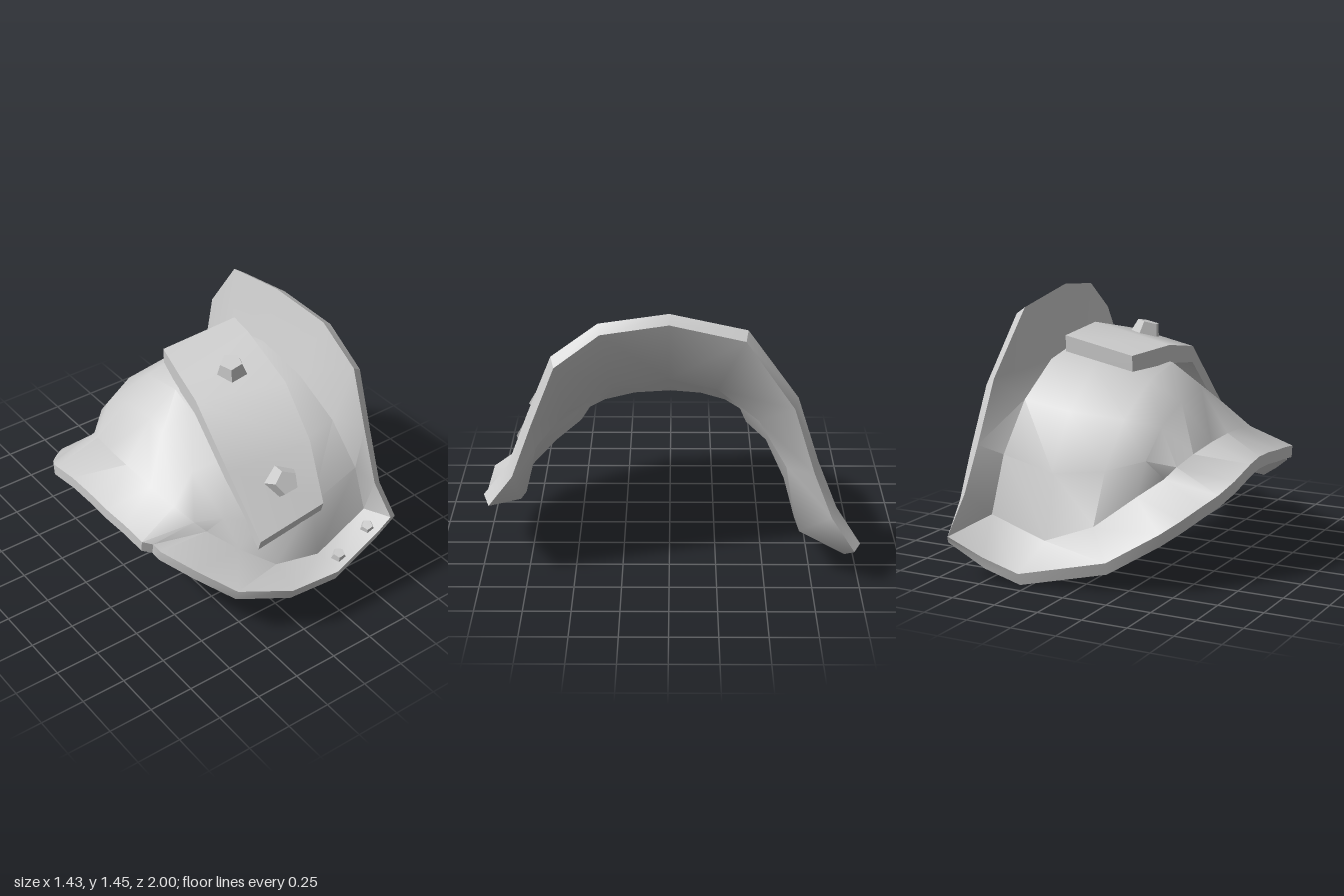
import * as THREE from 'three';
import { toCreasedNormals, mergeGeometries } from 'three/addons/utils/BufferGeometryUtils.js';

const material = new THREE.MeshStandardMaterial({ color: 0xcccccc });
const V = (p) => new THREE.Vector3(...p);

function surface(points, index, crease) {
  const geometry = new THREE.BufferGeometry().setFromPoints(points);
  geometry.setIndex(index);
  return toCreasedNormals(geometry, crease);
}

// Closed plate from a grid of outer points. The outline is thickened by
// edgeShift(point, row), the middle along its normals.
function plate(name, grid, thickness, edgeShift) {
  const rows = grid.length, cols = grid[0].length, n = rows * cols;
  const points = grid.flat();
  const top = [];
  for (let i = 0; i < rows - 1; i++)
    for (let j = 0; j < cols - 1; j++) {
      const a = i * cols + j, b = a + 1, c = a + cols, d = c + 1;
      // diagonals run from the middle out to the four corners
      if ((j < (cols - 1) / 2) === (i > 0)) top.push(a, b, c, b, d, c);
      else top.push(a, b, d, a, d, c);
    }
  const skin = new THREE.BufferGeometry().setFromPoints(points);
  skin.setIndex(top);
  skin.computeVertexNormals();
  const inner = points.map((p, k) => {
    const i = Math.floor(k / cols), j = k % cols;
    if (i === 0 || j === 0 || i === rows - 1 || j === cols - 1)
      return p.clone().add(edgeShift(p, i));
    const normal = new THREE.Vector3().fromBufferAttribute(skin.attributes.normal, k);
    return p.clone().addScaledVector(normal, -thickness);
  });

  // edge strip around the whole outline
  const loop = [], edge = [];
  for (let j = 0; j < cols - 1; j++) loop.push(j);
  for (let i = 0; i < rows - 1; i++) loop.push(i * cols + cols - 1);
  for (let j = cols - 1; j > 0; j--) loop.push((rows - 1) * cols + j);
  for (let i = rows - 1; i > 0; i--) loop.push(i * cols);
  loop.forEach((a, k) => {
    const b = loop[(k + 1) % loop.length];
    edge.push(a, a + n, b, b, a + n, b + n);
  });

  const geometry = mergeGeometries([
    surface(points, top, 0.7),
    surface(inner, [...top].reverse(), 1.4),
    surface([...points, ...inner], edge, 0.5),
  ]);
  const mesh = new THREE.Mesh(geometry, material);
  mesh.name = name;
  return mesh;
}

// Raised rim beside the neck, front to back
const collarRim = [
  [0.6, 0.47, 0.97], [0.585, 0.63, 0.84], [0.585, 0.92, 0.73], [0.595, 1.24, 0.6],
  [0.575, 1.41, 0.36], [0.54, 1.45, 0], [0.56, 1.37, -0.4], [0.6, 1.02, -0.66],
  [0.64, 0.68, -0.77], [0.665, 0.43, -0.87], [0.69, 0.23, -1],
];

// Dome ribs: front foot, crest, back foot; flat ones run straighter down the front
const ribs = [
  { front: [0.53, 0.47, 0.83], crest: [0.46, 1.14, 0], back: [0.58, 0.3, -0.74] },
  { front: [0.2, 0.33, 0.85], crest: [0.2, 1.13, 0], back: [0.25, 0.2, -0.75] },
  { front: [-0.07, 0.38, 0.83], crest: [-0.13, 1.06, 0], back: [-0.02, 0.3, -0.71], flat: true },
  { front: [-0.22, 0.47, 0.7], crest: [-0.3, 0.94, 0], back: [-0.22, 0.46, -0.61], flat: true },
  { front: [-0.33, 0.55, 0.56], crest: [-0.46, 0.7, 0], back: [-0.32, 0.54, -0.49] },
];

// Flange edge in three runs
const frontEdge = [
  [0.52, 0.43, 0.98], [0.22, 0.3, 1], [-0.08, 0.315, 0.99], [-0.33, 0.33, 0.84], [-0.48, 0.43, 0.67],
];
const outerEdge = [
  [-0.6, 0.52, 0.52], [-0.61, 0.54, 0.47], [-0.66, 0.56, 0.44], [-0.67, 0.58, 0.3],
  [-0.69, 0.6, 0.15], [-0.7, 0.62, 0], [-0.71, 0.63, -0.15], [-0.72, 0.62, -0.29],
  [-0.68, 0.55, -0.4], [-0.63, 0.49, -0.49], [-0.57, 0.44, -0.57],
];
const backEdge = [
  [0.5, 0.13, -0.96], [0.3, 0.065, -0.94], [-0.16, 0.16, -0.84], [-0.42, 0.32, -0.75], [-0.5, 0.38, -0.66],
];

// Arched rib, foot to crest to foot in eight steps
function ribPoints({ front, crest, back, flat }) {
  const points = [];
  for (let k = 0; k <= 8; k++) {
    const angle = (k / 8) * Math.PI, foot = k <= 4 ? front : back;
    const straight = flat && k < 4;
    const rise = Math.sin(angle) ** (straight ? 1.15 : 1);
    const run = Math.abs(Math.cos(angle)) ** (straight ? 2 : 1);
    points.push(new THREE.Vector3(
      foot[0] + (crest[0] - foot[0]) * rise,
      foot[1] + (crest[1] - foot[1]) * rise,
      foot[2] * run));
  }
  return points;
}

// Collar thickens sideways (thinner at the back tip), flange thickens downward
function shellEdge(p, row) {
  if (row === 0)
    return new THREE.Vector3(0.06 - 0.2 * Math.max(0, -p.z - 0.8), -0.04, -0.03 * p.z);
  return new THREE.Vector3(0, -0.065, -0.02 * p.z);
}

// Strap is thickest over the crest
const strapEdge = (p) =>
  new THREE.Vector3(0, -0.05 - 0.05 * (1 - Math.abs(p.z)), -0.02 * p.z);

// Five-sided tapered stud standing along a direction
function stud(name, position, direction, radius, height) {
  const mesh = new THREE.Mesh(
    new THREE.CylinderGeometry(radius * 0.68, radius, height, 5).rotateY(Math.PI).toNonIndexed(), material);
  mesh.geometry.computeVertexNormals();
  mesh.position.set(...position);
  mesh.quaternion.setFromUnitVectors(new THREE.Vector3(0, 1, 0), V(direction).normalize());
  mesh.name = name;
  return mesh;
}

export function createModel() {
  const model = new THREE.Group();
  model.name = 'shoulderArmour';

  // Dome, collar and flange in one shell
  const grid = [
    collarRim.map(V),
    ...ribs.map((rib, i) => [V(frontEdge[i]), ...ribPoints(rib), V(backEdge[i])]),
    outerEdge.map(V),
  ];
  model.add(plate('shoulderShell', grid, 0.075, shellEdge));

  // Reinforcing strap over the front of the dome
  const strapRight = [[0.24, 0.645, 0.825], [0.265, 0.95, 0.66], [0.3, 1.16, 0.4], [0.35, 1.25, 0], [0.42, 1.2, -0.21]];
  const strapLeft = [[-0.15, 0.545, 0.79], [-0.15, 0.83, 0.5], [-0.15, 1.12, 0.21], [-0.11, 1.155, 0], [-0.02, 1.13, -0.27]];
  model.add(plate('strap', [strapRight.map(V), strapLeft.map(V)], 0, strapEdge));

  // Studs on the strap and small rivets on the flange
  model.add(stud('upperStud', [0.115, 1.2, 0.17], [-0.2, 1, 0.15], 0.09, 0.09));
  model.add(stud('lowerStud', [0.075, 0.785, 0.69], [-0.25, 0.5, 0.82], 0.095, 0.1));
  model.add(stud('innerRivet', [0.48, 0.43, 0.92], [-0.25, 0.9, 0.3], 0.045, 0.04));
  model.add(stud('outerRivet', [0.275, 0.345, 0.935], [-0.15, 0.9, 0.3], 0.045, 0.04));

  return model;
}
